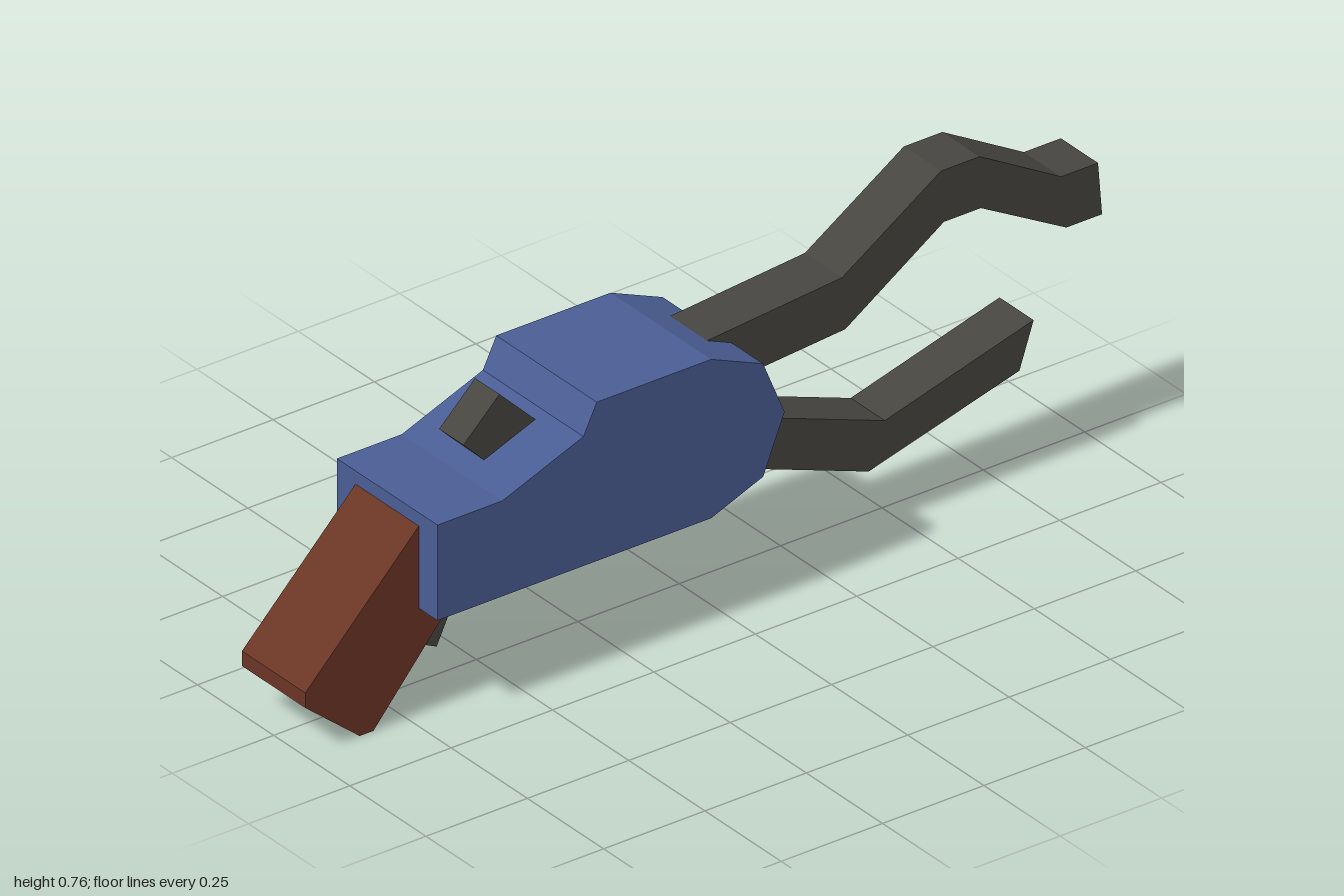
import * as THREE from 'three';

const material = (color) => new THREE.MeshStandardMaterial({ color, flatShading: true });

// Side outline extruded symmetrically about z = 0
function slab(name, points, halfDepth, mat) {
  const shape = new THREE.Shape(points.map(([x, y]) => new THREE.Vector2(x, y)));
  const geometry = new THREE.ExtrudeGeometry(shape, { depth: halfDepth * 2, bevelEnabled: false });
  geometry.translate(0, 0, -halfDepth);
  const mesh = new THREE.Mesh(geometry, mat);
  mesh.name = name;
  return mesh;
}

export function createModel() {
  const blue = material(0x4a5d94);
  const dark = material(0x464540);
  const brown = material(0x6a3525);
  const group = new THREE.Group();
  group.name = 'clawBlaster';

  group.add(
    // Chunky housing with chamfered nose and stepped rear
    slab('body', [
      [-0.72, 0.243], [-0.045, 0.243], [0.083, 0.293], [0.136, 0.422], [0.083, 0.55],
      [-0.045, 0.604], [-0.327, 0.604], [-0.36, 0.537], [-0.56, 0.46], [-0.72, 0.46],
    ], 0.165, blue),

    // Slanted handle, its upper end sunk into the body
    slab('grip', [
      [-1, 0.113], [-0.866, 0.003], [-0.832, 0.003], [-0.6, 0.275],
      [-0.66, 0.44], [-0.71, 0.44], [-1, 0.147],
    ], 0.104, brown),

    // Trigger below, hammer above
    slab('trigger', [
      [-0.74, 0.13], [-0.625, 0.092], [-0.54, 0.27], [-0.65, 0.32],
    ].map(([x, y], i) => (i === 0 ? [-0.731, 0.143] : [x, y])), 0.036, dark),
    slab('hammer', [
      [-0.562, 0.53], [-0.47, 0.437], [-0.38, 0.523], [-0.473, 0.615],
    ], 0.04, dark),

    // Two bent prongs reaching forward from the nose
    slab('upperProng', [
      [0.01, 0.456], [0.364, 0.484], [0.607, 0.644], [0.698, 0.644], [0.909, 0.527], [0.997, 0.527],
      [0.987, 0.647], [0.896, 0.647], [0.695, 0.762], [0.6, 0.762], [0.356, 0.604], [0.02, 0.575],
    ], 0.061, dark),
    slab('lowerProng', [
      [-0.02, 0.3], [0.425, 0.137], [0.797, 0.238], [0.832, 0.341], [0.465, 0.239], [0.02, 0.402],
    ], 0.056, dark),
  );
  return group;
}
